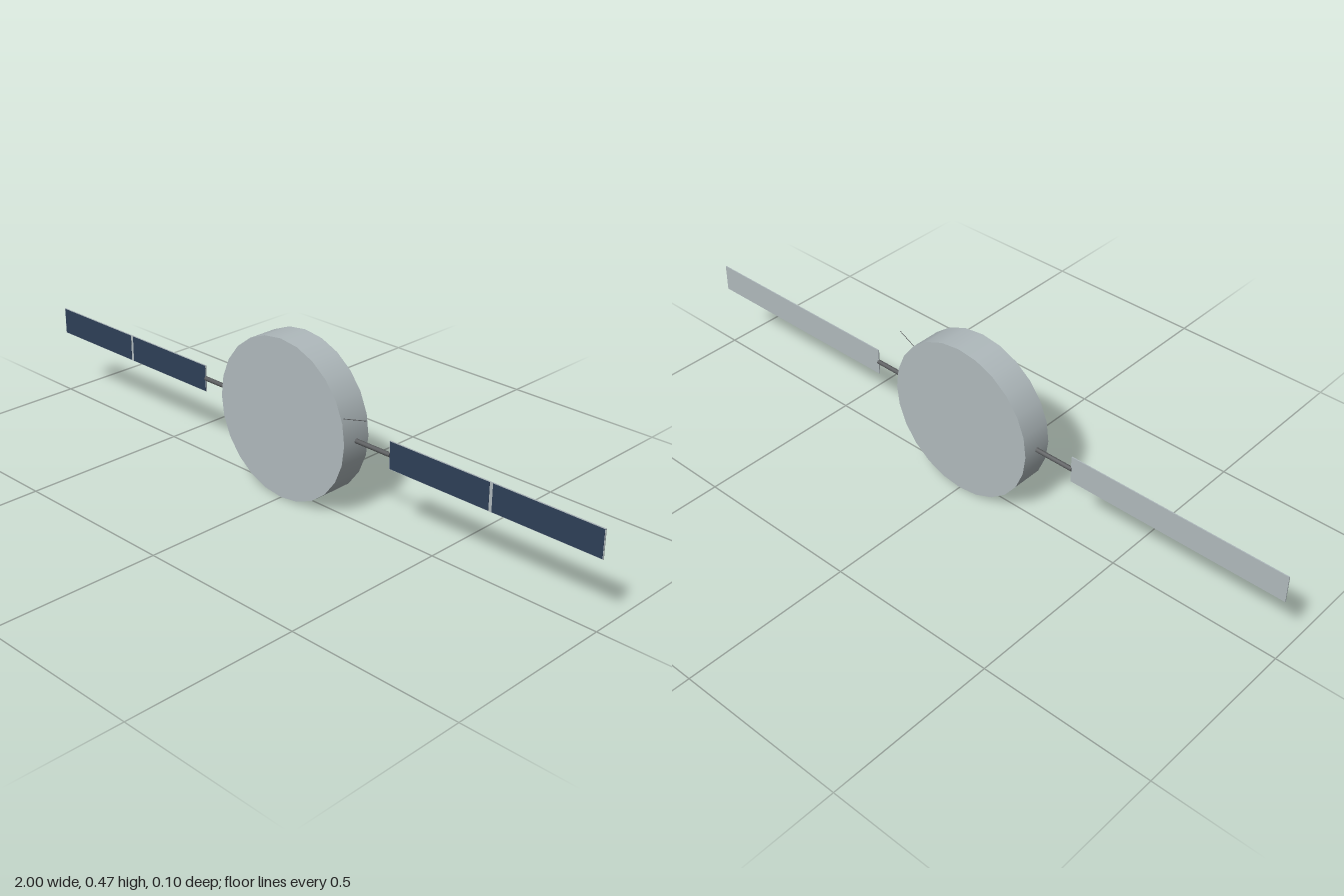
import * as THREE from 'three';

const CENTER_Y = 0.2325;

function material(name, color) {
  const m = new THREE.MeshStandardMaterial({ color });
  m.name = name;
  return m;
}

export function createModel() {
  const hull = material('hull grey', 0xb0babd);
  const dark = material('dark metal', 0x5a5c5e);
  const navy = material('solar navy', 0x2e3f57);
  const model = new THREE.Group();
  model.name = 'satellite';

  function add(parent, name, geometry, mat, x, y, z) {
    const mesh = new THREE.Mesh(geometry, mat);
    mesh.name = name;
    mesh.position.set(x, y, z);
    parent.add(mesh);
    return mesh;
  }

  // Thin rod between two points
  function rod(parent, name, from, to, radius, sides, mat) {
    const dir = to.clone().sub(from);
    const mid = from.clone().add(to).multiplyScalar(0.5);
    const geometry = new THREE.CylinderGeometry(radius, radius, dir.length(), sides);
    const mesh = add(parent, name, geometry, mat, mid.x, mid.y, mid.z);
    mesh.quaternion.setFromUnitVectors(new THREE.Vector3(0, 1, 0), dir.normalize());
  }

  // Drum-shaped body, flat faces to front and back
  const drum = new THREE.CylinderGeometry(0.2325, 0.2325, 0.092, 24).rotateX(Math.PI / 2);
  add(model, 'body', drum, hull, 0, CENTER_Y, 0);

  // Booms and solar wings on both sides
  for (const side of [1, -1]) {
    const wing = new THREE.Group();
    wing.name = side > 0 ? 'leftWing' : 'rightWing';
    wing.position.y = CENTER_Y;
    model.add(wing);

    rod(wing, 'boom', new THREE.Vector3(side * 0.21, 0, 0),
      new THREE.Vector3(side * 0.35, 0, 0), 0.0065, 12, dark);
    add(wing, 'panelFrame', new THREE.BoxGeometry(0.652, 0.08, 0.003), hull, side * 0.674, 0, 0);

    // Two cell plates with a divider strip left between them
    for (const x of [0.5095, 0.8385]) {
      add(wing, 'solarCells', new THREE.BoxGeometry(0.319, 0.077, 0.001), navy, side * x, 0, 0.0018);
    }
  }

  // Whip antenna on the left rim
  rod(model, 'antenna', new THREE.Vector3(0.215, 0.301, 0.036),
    new THREE.Vector3(0.31, 0.33, 0.049), 0.001, 6, dark);

  return model;
}
